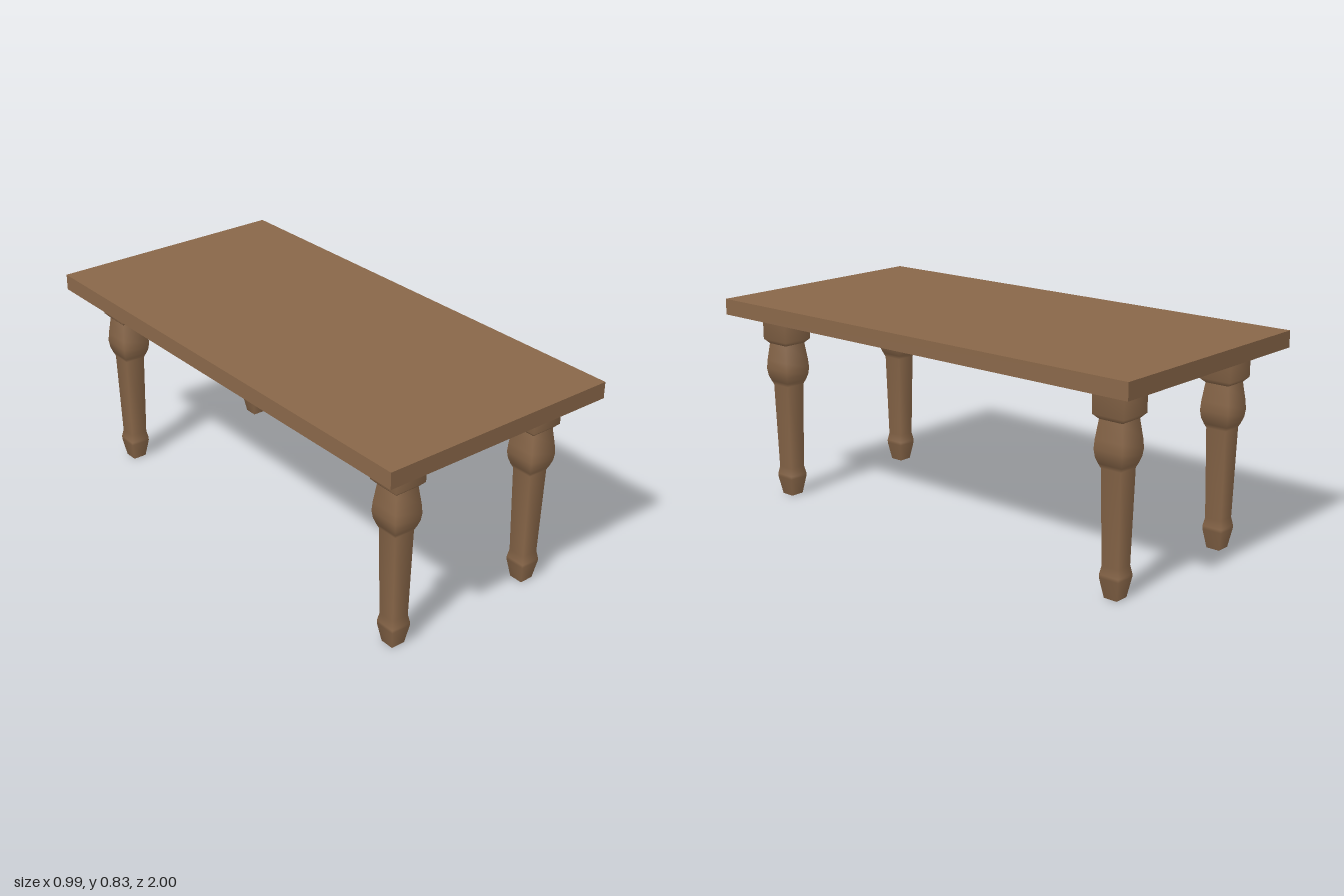
import * as THREE from 'three';

// Leg profile, bottom to top: [half width, height]; a repeated point makes a sharp edge
const LEG_PROFILE = [
  [0, 0], [0.028, 0], [0.028, 0],                                   // foot underside
  [0.041, 0.075], [0.041, 0.088], [0.035, 0.12],                    // foot swelling
  [0.042, 0.472],                                                   // tapered shaft
  [0.049, 0.488], [0.057, 0.512], [0.0605, 0.54], [0.058, 0.575],   // bulge
  [0.049, 0.645], [0.049, 0.645],                                   // neck
  [0.066, 0.663], [0.066, 0.769],                                   // top block
];

export function createModel() {
  const model = new THREE.Group();
  model.name = 'table';
  const wood = new THREE.MeshStandardMaterial({ color: 0x896749 });
  wood.name = 'brown wood';

  // Table top
  const top = new THREE.Mesh(new THREE.BoxGeometry(0.99, 0.064, 2), wood);
  top.name = 'tableTop';
  top.position.y = 0.8;
  model.add(top);

  // Square-section turned leg with softly shaded sides
  const points = LEG_PROFILE.map(([r, y]) => new THREE.Vector2(r * Math.SQRT2, y));
  const legGeometry = new THREE.LatheGeometry(points, 4, Math.PI / 4);

  // Four mirrored legs
  for (const [zName, z] of [['front', 0.84], ['back', -0.84]]) {
    for (const [xName, x] of [['Left', 0.32], ['Right', -0.32]]) {
      const leg = new THREE.Mesh(legGeometry, wood);
      leg.name = `${zName}${xName}Leg`;
      leg.position.set(x, 0, z);
      model.add(leg);
    }
  }
  return model;
}
